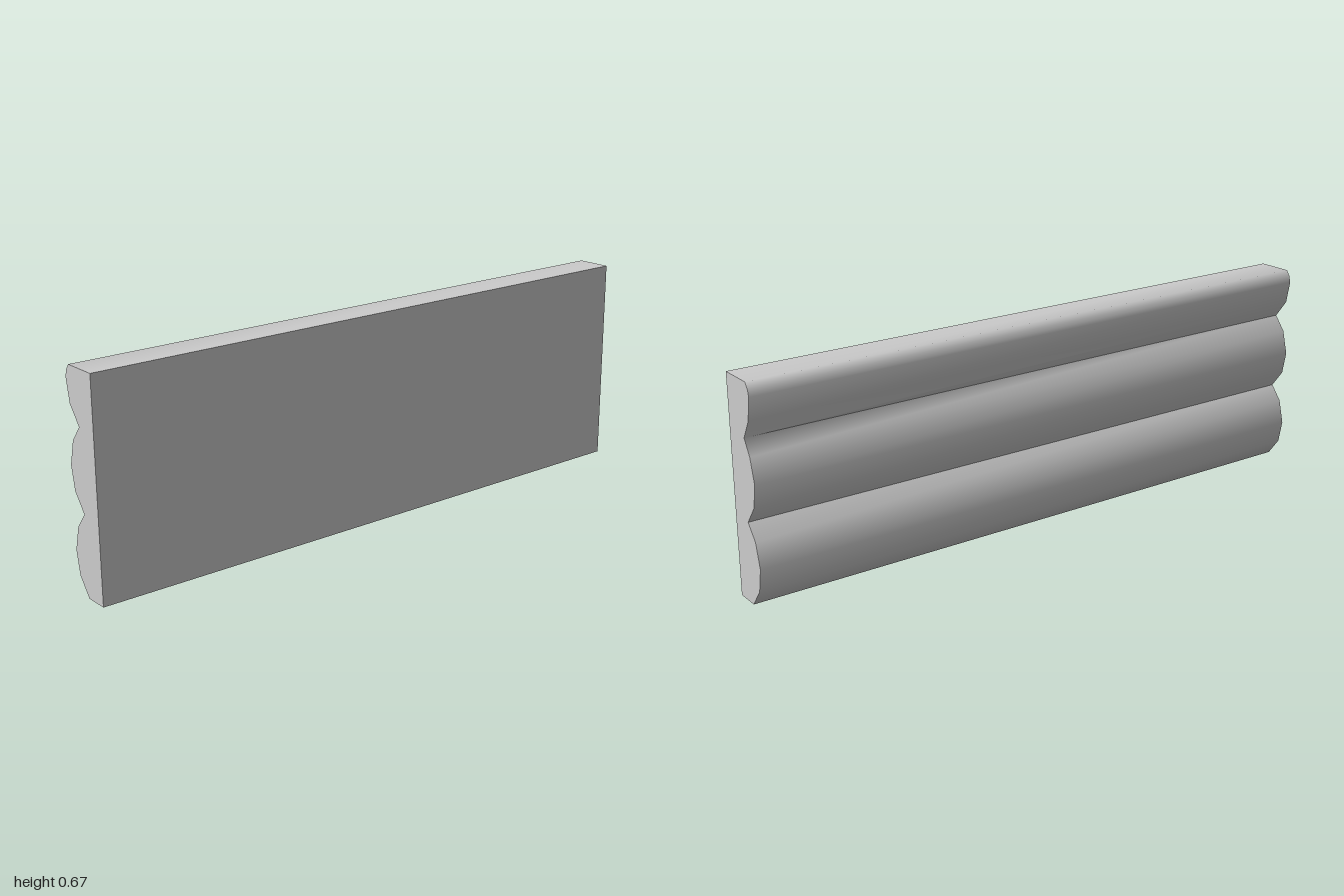
import * as THREE from 'three';
import { toCreasedNormals } from 'three/addons/utils/BufferGeometryUtils.js';

const LENGTH = 2;
const PITCH = 0.25; // height of one rounded board
const GROOVE_X = -0.009;
const BACK_X = 0.065;
const TOP = 0.666;

// Cross-section: two full lobes, a shorter rounded one on top, and a flat side.
function wallProfile() {
  const points = [];
  for (let i = 0; i < 3; i++) {
    const y = i * PITCH;
    points.push([GROOVE_X, y], [-0.052, y + 0.056], [-0.066, y + 0.128]);
    if (i < 2) points.push([-0.047, y + 0.203]);
  }
  points.push([-0.06, 0.649], [-0.048, TOP], [BACK_X, TOP], [BACK_X, 0]);
  return new THREE.Shape(points.map(([x, y]) => new THREE.Vector2(x, y)));
}

export function createModel() {
  const model = new THREE.Group();
  model.name = 'logWall';

  const grey = new THREE.MeshStandardMaterial({ color: 0xcccccc });
  grey.name = 'light grey';

  const geometry = new THREE.ExtrudeGeometry(wallProfile(), {
    depth: LENGTH, bevelEnabled: false, steps: 1,
  });
  geometry.translate(0, 0, -LENGTH / 2);

  // The upper groove runs slightly shallower at the rear end.
  const pos = geometry.attributes.position;
  for (let i = 0; i < pos.count; i++) {
    const inUpperGroove = Math.abs(pos.getY(i) - 2 * PITCH) < 1e-4 && pos.getX(i) < 0;
    if (inUpperGroove && pos.getZ(i) < 0) pos.setX(i, -0.02);
  }

  // Smooth lobes, sharp grooves and ends.
  const wall = new THREE.Mesh(toCreasedNormals(geometry, Math.PI / 3), grey);
  wall.name = 'wallPanel';
  model.add(wall);
  return model;
}
